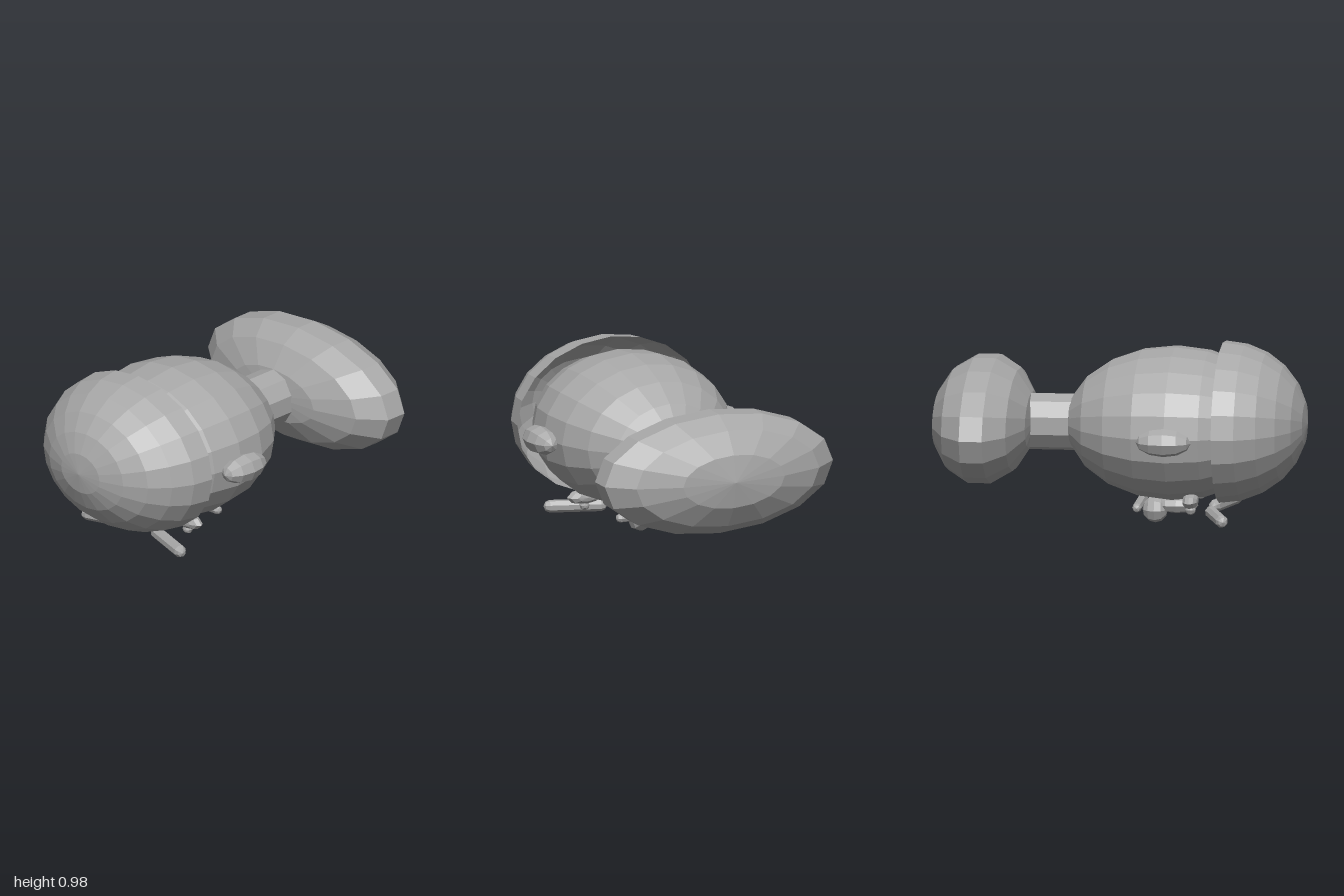
import * as THREE from 'three';

export function createModel() {
  const model = new THREE.Group();
  model.name = 'model';
  const grey = new THREE.MeshStandardMaterial({ color: 0xa8a8a8, flatShading: true, side: THREE.DoubleSide });
  grey.name = 'plain grey';

  function add(name, geometry, x, y, z) {
    const mesh = new THREE.Mesh(geometry, grey);
    mesh.name = name;
    mesh.position.set(x, y, z);
    model.add(mesh);
    return mesh;
  }

  // Ellipsoid with its poles along z; sweep below PI leaves the back open
  function ellipsoid(name, [x, y, z], [rx, ry, rz], sides, rows, sweep = Math.PI) {
    const g = new THREE.SphereGeometry(1, sides, rows, 0, Math.PI * 2, 0, sweep);
    g.rotateX(Math.PI / 2).scale(rx, ry, rz);
    return add(name, g, x, y, z);
  }

  // Round-ended rod between two points
  function rod(name, from, to, radius) {
    const a = new THREE.Vector3(...from), b = new THREE.Vector3(...to);
    const dir = b.clone().sub(a);
    const g = new THREE.CapsuleGeometry(radius, dir.length(), 2, 8);
    const mid = a.add(b).multiplyScalar(0.5);
    const mesh = add(name, g, mid.x, mid.y, mid.z);
    mesh.quaternion.setFromUnitVectors(new THREE.Vector3(0, 1, 0), dir.normalize());
  }

  // Body, open front shell, neck and flattened tail
  ellipsoid('body', [0, 0.545, 0.29], [0.52, 0.407, 0.58], 20, 10);
  ellipsoid('frontShell', [0, 0.556, 0.545], [0.55, 0.427, 0.455], 20, 6, Math.PI / 2);
  const neck = new THREE.CylinderGeometry(0.152, 0.152, 0.4, 10);
  neck.rotateX(Math.PI / 2);
  add('neck', neck, 0, 0.537, -0.37);
  ellipsoid('tail', [0, 0.545, -0.725], [0.687, 0.334, 0.275], 16, 7);

  // Mirrored side bumps, lower pods and front rods
  for (const [side, s] of [['left', 1], ['right', -1]]) {
    ellipsoid(side + 'SideBump', [s * 0.535, 0.537, 0.29], [0.083, 0.076, 0.147], 8, 6);
    ellipsoid(side + 'Pod', [s * 0.225, 0.168, 0.40], [0.103, 0.043, 0.043], 8, 6);
    ellipsoid(side + 'PodKnob', [s * 0.225, 0.12, 0.40], [0.028, 0.028, 0.028], 8, 6);
    rod(side + 'FrontRod', [s * 0.085, 0.083, 0.493], [s * 0.343, 0.083, 0.58], 0.034);
  }

  // Small underside assembly
  ellipsoid('undersideBall', [0, 0.076, 0.185], [0.072, 0.072, 0.068], 8, 6);
  ellipsoid('undersideSnout', [0, 0.102, 0.30], [0.058, 0.045, 0.115], 8, 6);
  rod('rearRod', [-0.155, 0.11, 0.105], [0.155, 0.11, 0.105], 0.025);

  return model;
}
